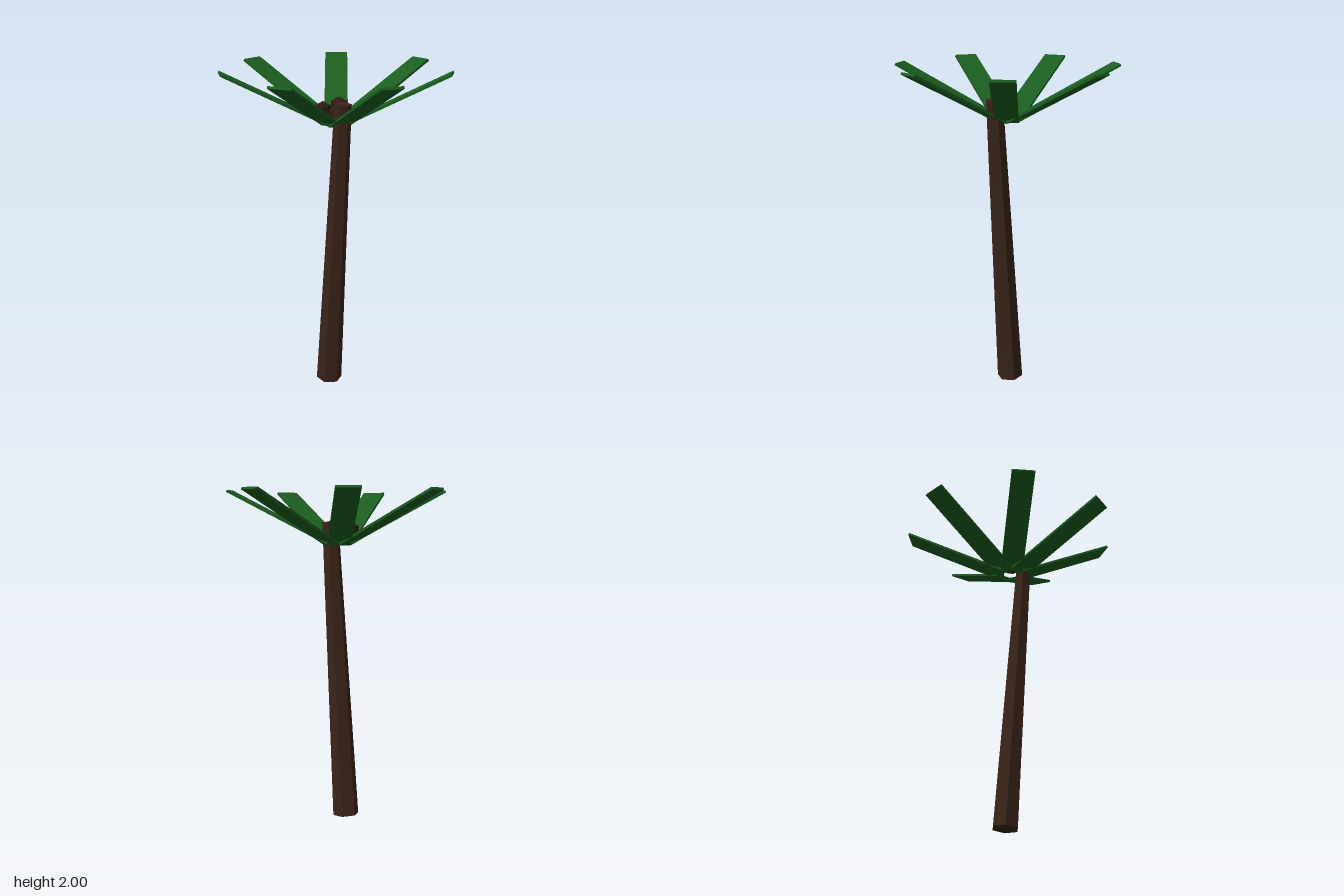
import * as THREE from 'three';

const bark = new THREE.MeshStandardMaterial({ color: 0x3a2419, flatShading: true });
const nutSkin = new THREE.MeshStandardMaterial({ color: 0x2e1a14, flatShading: true });
const leaf = new THREE.MeshStandardMaterial({ color: 0x1b5e20, flatShading: true });

export function createModel() {
  const palm = new THREE.Group();
  palm.name = 'palmTree';

  // Leaning, tapered six-sided trunk
  const base = new THREE.Vector3(-0.02, 0.006, -0.05);
  const tip = new THREE.Vector3(-0.02, 1.81, 0.09);
  const lean = tip.clone().sub(base);
  const trunk = new THREE.Mesh(new THREE.CylinderGeometry(0.05, 0.08, lean.length(), 6), bark);
  trunk.name = 'trunk';
  trunk.position.copy(base).add(tip).multiplyScalar(0.5);
  trunk.rotation.x = Math.atan2(lean.z, lean.y);
  palm.add(trunk);

  // Seven flat fronds rising outwards in a ring
  const fronds = new THREE.Group();
  fronds.name = 'fronds';
  const length = 0.695, rise = 0.472, count = 7;
  const frondGeometry = new THREE.BoxGeometry(length, 0.014, 0.14);
  frondGeometry.translate(length / 2, 0, 0);
  frondGeometry.rotateZ(rise);
  frondGeometry.translate(0.046, 1.678, 0);
  for (let i = 0; i < count; i++) {
    const frond = new THREE.Mesh(frondGeometry, leaf);
    frond.name = 'frond';
    frond.rotation.y = (i / count) * Math.PI * 2;
    fronds.add(frond);
  }
  palm.add(fronds);

  // Faceted coconuts clustered at the crown
  const nutGeometry = new THREE.SphereGeometry(0.054, 8, 3);
  for (const [x, y, z] of [[0.02, 1.783, 0], [-0.063, 1.76, -0.043], [-0.01, 1.735, 0]]) {
    const nut = new THREE.Mesh(nutGeometry, nutSkin);
    nut.name = 'coconut';
    nut.position.set(x, y, z);
    palm.add(nut);
  }
  return palm;
}
